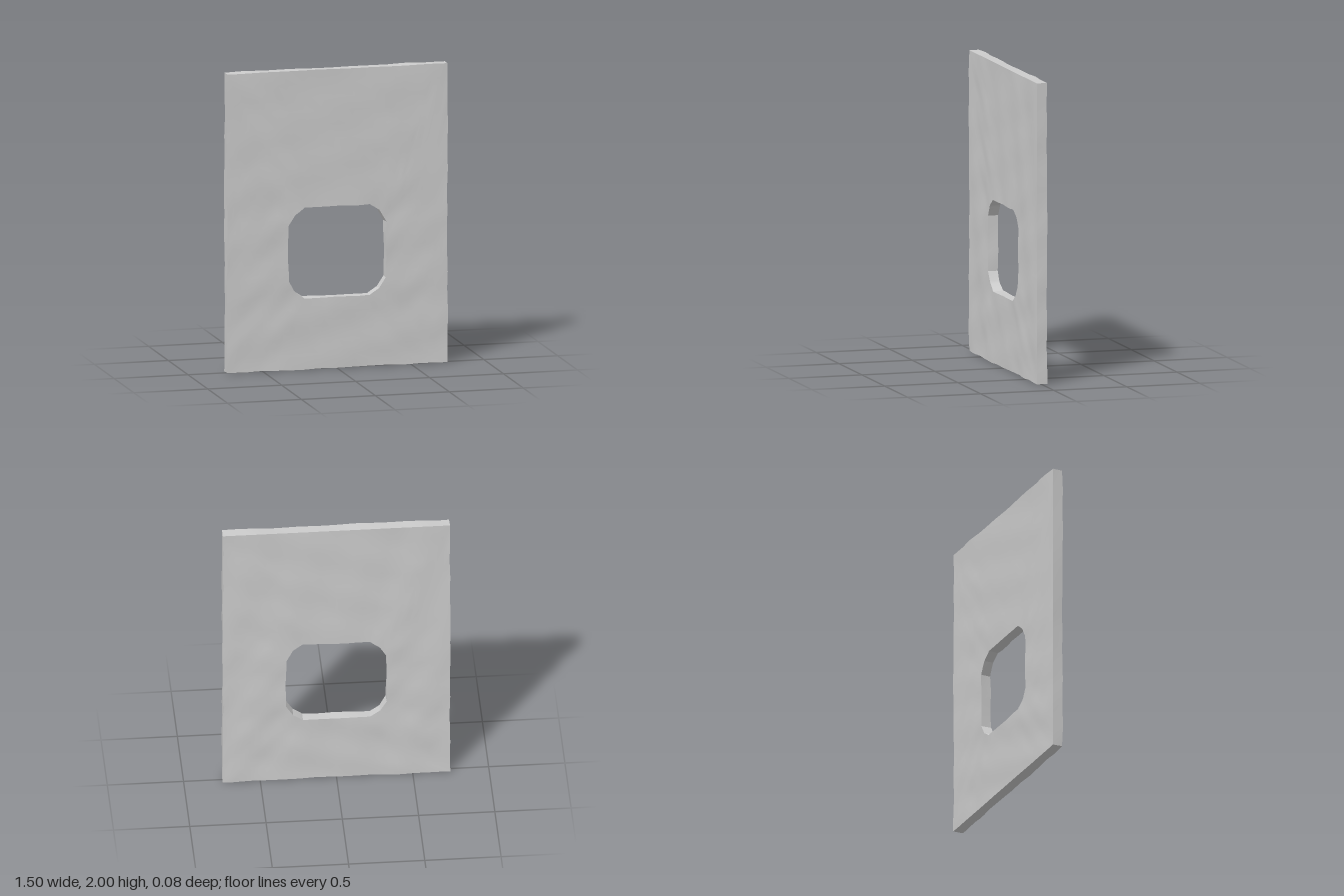
import * as THREE from 'three';
import { toCreasedNormals } from 'three/addons/utils/BufferGeometryUtils.js';

const HALF_DEPTH = 0.034;
const RINGS = 10; // steps from the hole to the outer edge

// Hole corners, counter-clockwise, each paired with a point on the outer edge
const hole = [
  [0.33, 0.59], [0.33, 0.96], [0.285, 1.04], [0.22, 1.083], [-0.22, 1.083], [-0.285, 1.035],
  [-0.33, 0.962], [-0.328, 0.595], [-0.285, 0.525], [-0.22, 0.477], [0.22, 0.477], [0.285, 0.52],
];
const X = 0.745, TOP = 1.995, BOTTOM = 0.006;
const outer = [
  [X, 0.5], [X, 1.15], [X, TOP], [0.36, TOP], [-0.36, TOP], [-X, TOP],
  [-X, 1.15], [-X, 0.5], [-X, BOTTOM], [-0.36, BOTTOM], [0.36, BOTTOM], [X, BOTTOM],
];

// Points along a closed outline, with equal steps on each side
function subdivide(points) {
  return points.flatMap(([x, y], i) => {
    const [nx, ny] = points[(i + 1) % points.length];
    const steps = 6;
    return Array.from({ length: steps }, (_, k) => [
      x + ((nx - x) * k) / steps, y + ((ny - y) * k) / steps,
    ]);
  });
}

// Gentle unevenness of the surface
function ripple(x, y, z) {
  const s = z > 0 ? 0 : 2.3;
  return 0.0022 * (Math.sin(17 * x + 5 * y + s) + Math.sin(19 * y - 6 * x + 2 * s)
    + 0.7 * Math.sin(29 * x + 1 + s) * Math.cos(26 * y + s));
}

function slabGeometry() {
  const inside = subdivide(hole), outside = subdivide(outer);
  const n = inside.length;
  // Cross-section loop: front from hole to edge, then back from edge to hole
  const section = [];
  for (let r = 0; r <= RINGS; r++) section.push([r / RINGS, HALF_DEPTH]);
  for (let r = RINGS; r >= 0; r--) section.push([r / RINGS, -HALF_DEPTH]);
  const m = section.length;
  const positions = [], index = [];
  for (let i = 0; i < n; i++) {
    section.forEach(([t, z], j) => {
      positions.push(
        THREE.MathUtils.lerp(inside[i][0], outside[i][0], t),
        THREE.MathUtils.lerp(inside[i][1], outside[i][1], t), z);
      const i2 = (i + 1) % n, j2 = (j + 1) % m;
      const a = i * m + j, b = i * m + j2, c = i2 * m + j2, d = i2 * m + j;
      index.push(a, b, c, a, c, d);
    });
  }
  const geometry = new THREE.BufferGeometry();
  geometry.setAttribute('position', new THREE.Float32BufferAttribute(positions, 3));
  geometry.setIndex(index);
  geometry.computeVertexNormals();

  // Push every vertex along its normal to roughen faces and edges
  const pos = geometry.attributes.position, nor = geometry.attributes.normal;
  for (let i = 0; i < pos.count; i++) {
    const x = pos.getX(i), y = pos.getY(i), z = pos.getZ(i);
    const d = ripple(x, y, z);
    pos.setXYZ(i, x + d * nor.getX(i), y + d * nor.getY(i), z + d * nor.getZ(i));
  }
  return toCreasedNormals(geometry, 0.42);
}

export function createModel() {
  const group = new THREE.Group();
  group.name = 'wallPanel';
  const slab = new THREE.Mesh(slabGeometry(), new THREE.MeshStandardMaterial({ color: 0xcccccc }));
  slab.name = 'slabWithOpening';
  group.add(slab);
  return group;
}
